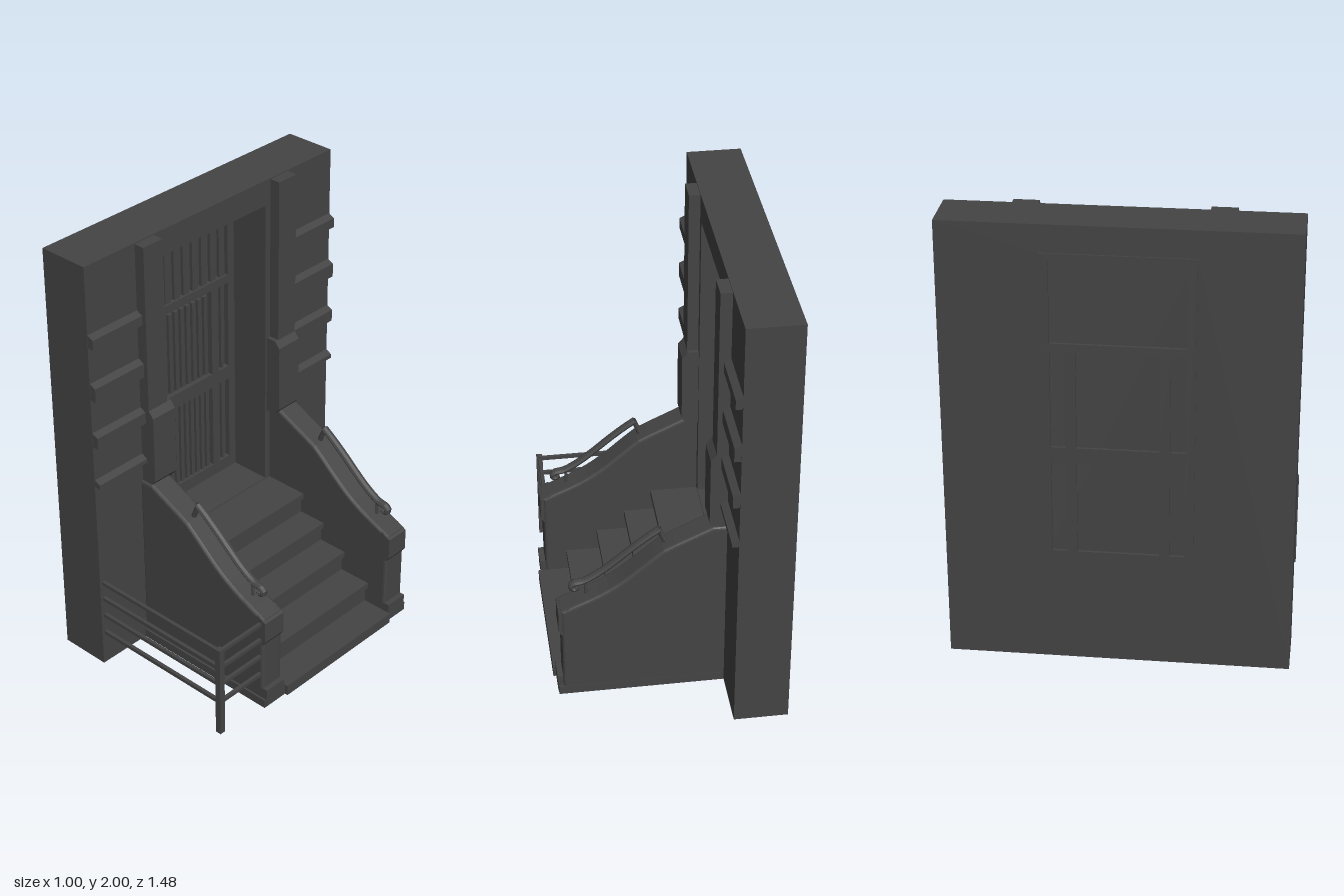
import * as THREE from 'three';

const mat = new THREE.MeshStandardMaterial({ color: 0x444444, flatShading: true, side: THREE.DoubleSide });

function add(group, name, geometry) {
  const mesh = new THREE.Mesh(geometry, mat);
  mesh.name = name;
  group.add(mesh);
  return mesh;
}

// box given by its limits on each axis
function box(group, name, x0, x1, y0, y1, z0, z1) {
  const mesh = add(group, name, new THREE.BoxGeometry(x1 - x0, y1 - y0, z1 - z0));
  mesh.position.set((x0 + x1) / 2, (y0 + y1) / 2, (z0 + z1) / 2);
  return mesh;
}

// bar between two points in the x-y plane or along z
function bar(group, name, a, b, r) {
  const curve = new THREE.LineCurve3(new THREE.Vector3(...a), new THREE.Vector3(...b));
  return add(group, name, new THREE.TubeGeometry(curve, 1, r, 8));
}

// profile in x-y, pushed out along z from z0 to z1
function prism(group, name, shape, z0, z1, bevel = 0) {
  const geo = new THREE.ExtrudeGeometry(shape, {
    depth: z1 - z0 - 2 * bevel, bevelEnabled: bevel > 0, bevelSize: bevel,
    bevelThickness: bevel, bevelOffset: -bevel, bevelSegments: 3, curveSegments: 10,
  });
  geo.translate(0, 0, z0 + bevel);
  return add(group, name, geo);
}

function poly(points) {
  return new THREE.Shape(points.map(([x, y]) => new THREE.Vector2(x, y)));
}

function buildWall(root) {
  const g = new THREE.Group();
  g.name = 'wall';
  // wall slab with the doorway cut through
  const slab = new THREE.Shape();
  slab.moveTo(-0.74, 0).lineTo(0.74, 0).lineTo(0.74, 2).lineTo(-0.74, 2).closePath();
  const hole = new THREE.Path();
  hole.moveTo(-0.32, 0.47).lineTo(-0.32, 1.88).lineTo(0.32, 1.88).lineTo(0.32, 0.47).closePath();
  slab.holes.push(hole);
  const geo = new THREE.ExtrudeGeometry(slab, { depth: 0.24, bevelEnabled: false });
  geo.rotateY(Math.PI / 2).translate(-0.49, 0, 0);
  add(g, 'wallSlab', geo);

  for (const s of [-1, 1]) {
    const span = (a, b) => (s > 0 ? [a, b] : [-b, -a]);
    // pilaster with a thicker foot
    box(g, 'pilaster', -0.26, -0.2, 0.4, 1.995, ...span(0.35, 0.46));
    prism(g, 'pilasterFoot', poly([[-0.26, 0.84], [-0.2, 0.84], [-0.175, 0.87],
      [-0.175, 1.19], [-0.2, 1.22], [-0.26, 1.22]]), ...span(0.33, 0.46));
    // bands with a sloping upper edge
    for (const [y0, y1] of [[0.95, 0.985], [1.15, 1.22], [1.38, 1.46], [1.63, 1.69]]) {
      prism(g, 'wallBand', poly([[-0.26, y0], [-0.22, y0], [-0.22, y1 - 0.015], [-0.25, y1], [-0.26, y1]]),
        ...span(0.45, 0.738));
    }
  }
  root.add(g);
}

function buildDoor(root) {
  const g = new THREE.Group();
  g.name = 'door';
  box(g, 'doorLeaf', -0.485, -0.465, 0.47, 1.88, -0.32, 0.32);
  // frame members show on both faces of the leaf
  const x0 = -0.497, x1 = -0.44;
  for (const s of [-1, 1]) {
    const z = s * 0.3;
    box(g, 'doorJamb', x0, x1, 0.5, 1.88, z - 0.02, z + 0.02);
    for (const [y0, y1] of [[0.53, 0.95], [1.02, 1.46]]) {
      box(g, 'panelStile', x0, x1, y0, y1, s * 0.195 - 0.022, s * 0.195 + 0.022);
      box(g, 'sideBead', -0.47, -0.45, y0, y1, s * 0.25 - 0.008, s * 0.25 + 0.008);
    }
    bar(g, 'doorHandle', [-0.43, 0.55 + (s > 0 ? 0.8 : 0), 0.19],
      [-0.43, 0.62 + (s > 0 ? 0.8 : 0), 0.19], 0.009);
  }
  for (const [y0, y1] of [[0.47, 0.53], [0.95, 1.02], [1.45, 1.49], [1.85, 1.88]]) {
    box(g, 'doorRail', x0, x1, y0, y1, -0.32, 0.32);
  }
  // vertical slats: transom above, two panels below
  for (const [y0, y1, half, n] of [[1.49, 1.85, 0.28, 10], [1.03, 1.43, 0.165, 9], [0.53, 0.94, 0.165, 10]]) {
    const pitch = (2 * half) / n;
    for (let i = 0; i < n; i++) {
      const z = -half + (i + 0.5) * pitch;
      box(g, 'slat', -0.47, -0.45, y0, y1, z - pitch * 0.3, z + pitch * 0.3);
    }
  }
  root.add(g);
}

function buildSteps(root) {
  const g = new THREE.Group();
  g.name = 'steps';
  const fronts = [0.5, 0.365, 0.22, 0.09, -0.035];
  const tops = [0.05, 0.155, 0.26, 0.36, 0.465];
  fronts.forEach((x, i) => {
    const y0 = i ? tops[i - 1] - 0.01 : 0;
    const nose = i ? 0.015 : 0;
    box(g, 'riser', -0.26, x - nose, y0, tops[i] - 0.02, -0.349, 0.349);
    box(g, 'tread', -0.26, x, tops[i] - 0.028, tops[i], -0.349, 0.349);
  });
  root.add(g);
}

function buildCurb(s) {
  const g = new THREE.Group();
  g.name = s > 0 ? 'leftCurb' : 'rightCurb';
  const z = s * 0.41;
  // sweeping side wall with rounded edges
  const side = new THREE.Shape();
  side.moveTo(-0.26, 0).lineTo(0.465, 0).lineTo(0.465, 0.46).lineTo(0.4, 0.49);
  side.bezierCurveTo(0.2, 0.57, 0.16, 0.64, 0.02, 0.75);
  side.lineTo(-0.03, 0.775).lineTo(-0.19, 0.85).lineTo(-0.26, 0.85).closePath();
  prism(g, 'sideWall', side, z - 0.06, z + 0.06, 0.014);
  // end cap, plinth and foot
  prism(g, 'endCap', poly([[0.43, 0.33], [0.465, 0.33], [0.478, 0.35], [0.478, 0.45], [0.43, 0.475]]),
    z - 0.055, z + 0.06);
  box(g, 'plinth', -0.26, 0.485, 0, 0.04, z - 0.062, z + 0.07);
  box(g, 'plinthBlock', 0.44, 0.49, 0.06, 0.092, z - 0.05, z + 0.06);
  box(g, 'plinthFoot', 0.44, 0.488, 0.01, 0.06, z - 0.05, z + 0.06);

  // handrail: flat bar following a curve with a curled end
  const path = new THREE.CatmullRomCurve3([[0.03, 0.825], [0.08, 0.79], [0.15, 0.735], [0.22, 0.675],
    [0.29, 0.62], [0.36, 0.58], [0.405, 0.57], [0.417, 0.553], [0.4, 0.542], [0.388, 0.552]]
    .map(([x, y]) => new THREE.Vector3(x, y, 0)));
  const rail = add(g, 'handrail', new THREE.TubeGeometry(path, 48, 0.014, 8));
  rail.scale.z = 1.4;
  rail.position.z = z;
  bar(g, 'upperBracket', [0, 0.74, z], [0.036, 0.828, z], 0.012);
  bar(g, 'lowerBracket', [0.352, 0.49, z], [0.352, 0.58, z], 0.007);
  return g;
}

function buildFence(root) {
  const g = new THREE.Group();
  g.name = 'fence';
  box(g, 'fencePost', 0.435, 0.463, 0, 0.45, 0.705, 0.733);
  for (const y of [0.435, 0.35, 0.26, 0.165]) {
    box(g, 'longRail', -0.26, 0.45, y - 0.008, y + 0.008, 0.711, 0.727);
    box(g, 'shortRail', 0.441, 0.457, y - 0.008, y + 0.008, 0.46, 0.72);
  }
  root.add(g);
}

export function createModel() {
  const root = new THREE.Group();
  root.name = 'entranceSteps';
  buildWall(root);
  buildDoor(root);
  buildSteps(root);
  for (const s of [-1, 1]) root.add(buildCurb(s));
  buildFence(root);
  return root;
}
